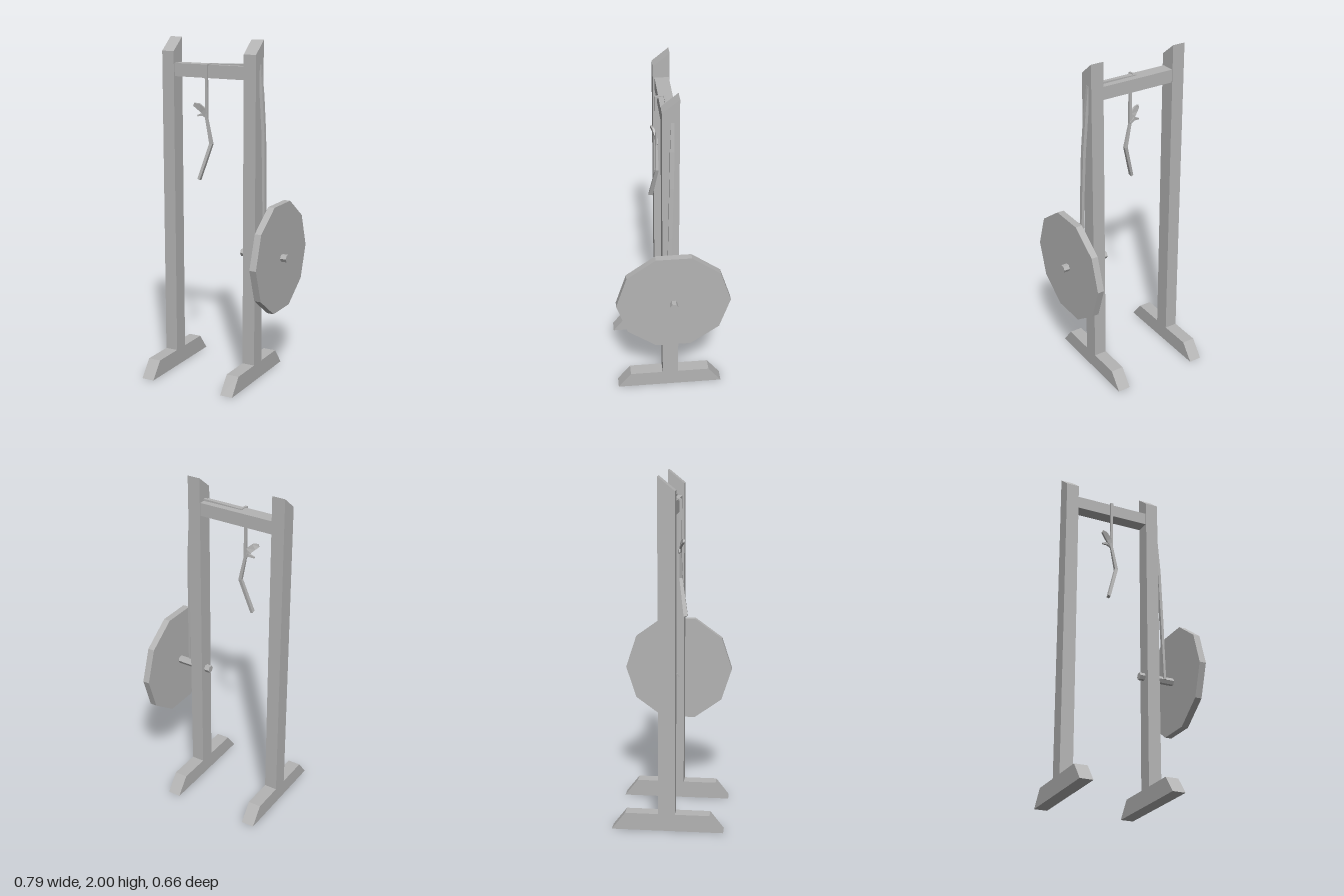
import * as THREE from 'three';

const grey = new THREE.MeshStandardMaterial({ color: 0xb4b4b4, flatShading: true });
grey.name = 'plain grey';

function part(name, geometry, parent) {
  const mesh = new THREE.Mesh(geometry, grey);
  mesh.name = name;
  parent.add(mesh);
  return mesh;
}

// Six- or ten-sided bar lying along x, with corners at front and back
function barX(radius, x0, x1, y, sides) {
  return new THREE.CylinderGeometry(radius, radius, x1 - x0, sides)
    .rotateZ(-Math.PI / 2)
    .translate((x0 + x1) / 2, y, 0);
}

// Square-section cord through points [x, y, z, halfWidth, halfDepth]
function cord(points) {
  const pos = [], index = [];
  const at = (i) => new THREE.Vector3(points[i][0], points[i][1], points[i][2]);
  const last = points.length - 1;
  points.forEach((p, i) => {
    const dir = at(Math.min(i + 1, last)).sub(at(Math.max(i - 1, 0))).normalize();
    const ref = Math.abs(dir.z) > 0.9 ? new THREE.Vector3(0, 1, 0) : new THREE.Vector3(0, 0, 1);
    const side = ref.clone().cross(dir).normalize();
    const front = dir.clone().cross(side);
    for (const [a, b] of [[-1, -1], [1, -1], [1, 1], [-1, 1]]) {
      const v = at(i).addScaledVector(side, a * p[3]).addScaledVector(front, b * p[4]);
      pos.push(v.x, v.y, v.z);
    }
  });
  for (let i = 0; i < last; i++) {
    for (let k = 0; k < 4; k++) {
      const a = i * 4 + k, b = i * 4 + (k + 1) % 4;
      index.push(a, b, b + 4, a, b + 4, a + 4);
    }
  }
  const e = last * 4;
  index.push(0, 2, 1, 0, 3, 2, e, e + 1, e + 2, e, e + 2, e + 3);
  const g = new THREE.BufferGeometry();
  g.setAttribute('position', new THREE.Float32BufferAttribute(pos, 3));
  g.setIndex(index);
  const flat = g.toNonIndexed();
  flat.computeVertexNormals();
  return flat;
}

export function createModel() {
  const model = new THREE.Group();
  model.name = 'ropeFrame';

  // Upright with slanted top and splayed foot, drawn in (z, y) and extruded along x
  const outline = [
    [-0.313, 0], [0.325, 0], [0.247, 0.1], [0.05, 0.1],
    [0.05, 1.923], [-0.045, 2], [-0.045, 0.1], [-0.235, 0.1],
  ];
  for (const [name, x] of [['rightPost', -0.398], ['leftPost', 0.133]]) {
    const shape = new THREE.Shape(outline.map(([z, y]) => new THREE.Vector2(-z, y)));
    const g = new THREE.ExtrudeGeometry(shape, { depth: 0.077, bevelEnabled: false });
    part(name, g.rotateY(Math.PI / 2).translate(x, 0, 0), model);
  }

  // Crossbeam
  part('crossbeam', new THREE.BoxGeometry(0.46, 0.076, 0.08).translate(-0.094, 1.817, 0), model);

  // Wheel and axle
  part('wheel', barX(0.329, 0.319, 0.359, 0.773, 10), model);
  part('axle', barX(0.023, 0.1, 0.395, 0.77, 6), model);

  // Rope: over the beam, then down to the axle
  const rope = new THREE.Group();
  rope.name = 'rope';
  model.add(rope);
  part('ropeOverBeam', cord([
    [-0.105, 1.854, 0.005, 0.006, 0.006],
    [0.13, 1.86, 0.003, 0.007, 0.008],
    [0.207, 1.86, -0.005, 0.007, 0.01],
  ]), rope);
  part('ropeToAxle', cord([
    [0.207, 1.866, -0.007, 0.006, 0.009],
    [0.222, 1.7, -0.003, 0.009, 0.012],
    [0.238, 1.48, 0.002, 0.009, 0.012],
    [0.248, 1.15, 0.01, 0.008, 0.011],
    [0.257, 0.77, 0.018, 0.007, 0.01],
  ]), rope);

  // Hanging length with its bent tail
  part('ropeFrontBend', cord([
    [-0.103, 1.855, 0, 0.006, 0.006],
    [-0.103, 1.852, 0.054, 0.006, 0.006],
  ]), rope);
  part('ropeHanging', cord([
    [-0.103, 1.857, 0.053, 0.008, 0.006],
    [-0.103, 1.55, 0.052, 0.008, 0.006],
    [-0.073, 1.405, 0.052, 0.01, 0.009],
    [-0.135, 1.196, 0.085, 0.008, 0.012],
  ]), rope);

  // Loose ends at the knot
  part('upperLooseEnd', cord([
    [-0.101, 1.55, 0.05, 0.006, 0.005],
    [-0.122, 1.595, 0.055, 0.019, 0.006],
    [-0.15, 1.62, 0.066, 0.018, 0.006],
    [-0.174, 1.63, 0.077, 0.009, 0.005],
  ]), rope);
  part('lowerLooseEnd', cord([
    [-0.1, 1.552, 0.047, 0.006, 0.005],
    [-0.128, 1.572, 0.048, 0.01, 0.006],
    [-0.163, 1.562, 0.054, 0.004, 0.004],
  ]), rope);

  return model;
}
